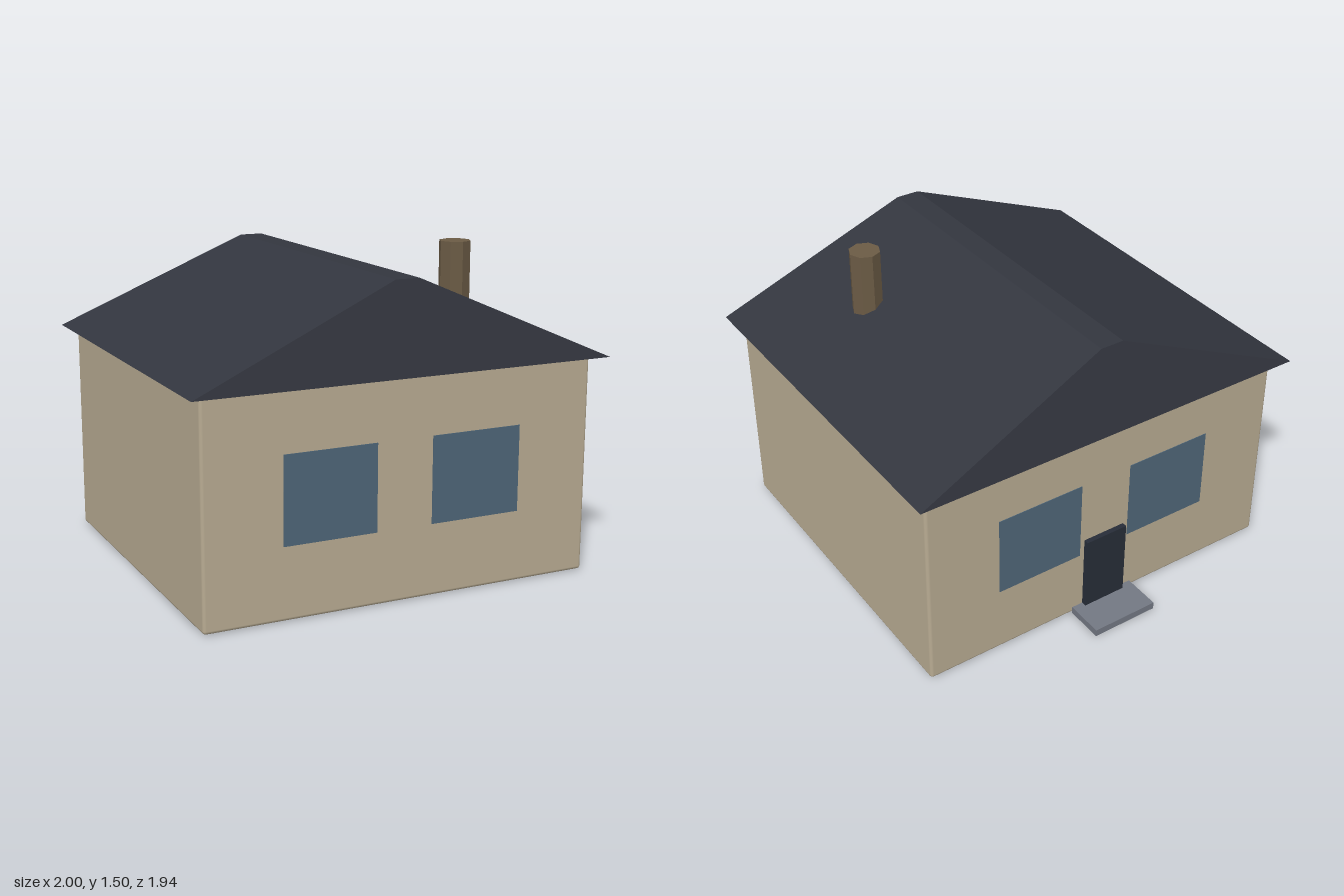
import * as THREE from 'three';
import { RoundedBoxGeometry } from 'three/addons/geometries/RoundedBoxGeometry.js';

const FRONT = 0.9, BACK = -0.78;
const MID = (FRONT + BACK) / 2;

export function createModel() {
  const house = new THREE.Group();
  house.name = 'house';

  const paint = (color, flatShading = false) => new THREE.MeshStandardMaterial({ color, flatShading });
  const wallPaint = paint(0xb8ab92);
  const roofPaint = paint(0x33363f, true);
  const brick = paint(0x6b5b45, true);
  const glass = paint(0x4f6678);
  const doorPaint = paint(0x272d38);
  const stone = paint(0x737883);

  const add = (name, geometry, material, x, y, z) => {
    const mesh = new THREE.Mesh(geometry, material);
    mesh.name = name;
    mesh.position.set(x, y, z);
    house.add(mesh);
    return mesh;
  };

  // Walls: one block with softened edges
  add('walls', new RoundedBoxGeometry(1.88, 1.015, FRONT - BACK, 2, 0.015), wallPaint, 0, 0.5125, MID);

  // Hipped roof: a box whose top is drawn in to a narrow ridge
  const roof = new THREE.BoxGeometry(2, 0.41, 1.82);
  const p = roof.attributes.position;
  for (let i = 0; i < p.count; i++) {
    if (p.getY(i) > 0) {
      p.setX(i, Math.sign(p.getX(i)) * 0.057);
      p.setZ(i, Math.sign(p.getZ(i)) * 0.838);
    }
  }
  roof.computeVertexNormals();
  add('roof', roof, roofPaint, 0, 1.225, MID);

  // Eight-sided chimney, sunk into the roof slope
  add('chimney', new THREE.CylinderGeometry(0.074, 0.074, 0.45, 8), brick, 0.524, 1.28, 0.395);

  // A pair of flush windows on the front and on the back
  for (const [side, z] of [['front', FRONT], ['back', BACK]]) {
    for (const s of [-1, 1]) {
      add(`${side}Window${s > 0 ? 'Left' : 'Right'}`,
        new THREE.BoxGeometry(0.44, 0.4, 0.006), glass, s * 0.355, 0.538, z);
    }
  }

  // Back door and its step
  add('door', new THREE.BoxGeometry(0.22, 0.41, 0.04), doorPaint, 0, 0.21, -0.785);
  add('doorstep', new THREE.BoxGeometry(0.335, 0.035, 0.19), stone, 0, 0.0175, -0.873);

  return house;
}
